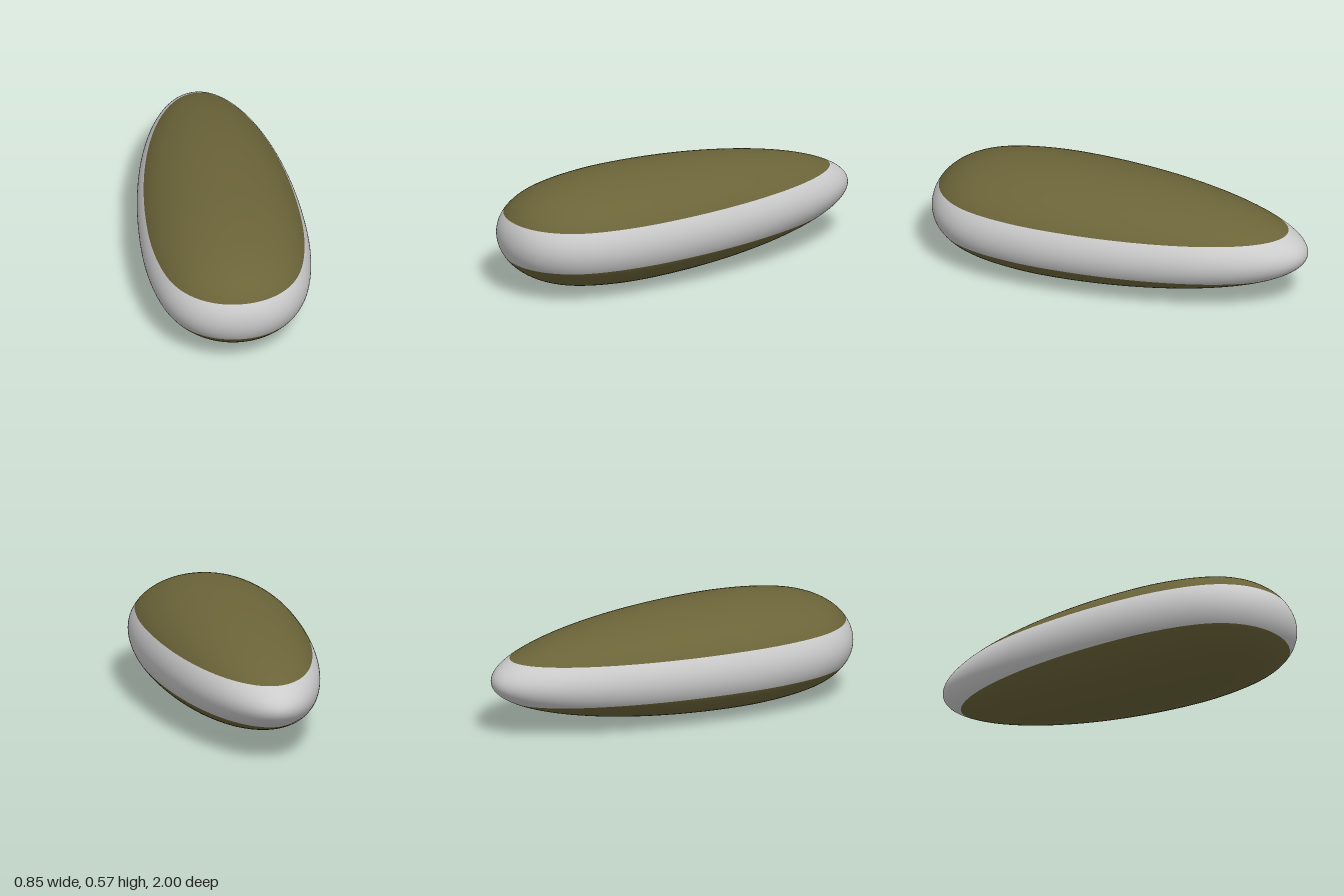
import * as THREE from 'three';

const HALF_W = 0.426, HALF_H = 0.285, BAND = 0.109; // body radii, half height of the side band
const CUT = BAND / HALF_H;

// Radius factor along the length: x holds z, y holds the factor
const v = (z, r) => new THREE.Vector2(z, r);
const profile = new THREE.CurvePath();
profile.add(new THREE.CubicBezierCurve(v(1, 0), v(1, 0.45), v(0.88, 0.76), v(0.7, 0.885)));
profile.add(new THREE.CubicBezierCurve(v(0.7, 0.885), v(0.6, 0.954), v(0.45, 1), v(0.3, 1)));
profile.add(new THREE.CubicBezierCurve(v(0.3, 1), v(-0.37, 1), v(-1, 0.55), v(-1, 0)));

// Place on the profile where the body becomes taller than the band
function findCut(thin, thick) {
  for (let i = 0; i < 40; i++) {
    const mid = (thin + thick) / 2;
    if (profile.getPoint(mid).y < CUT) thin = mid; else thick = mid;
  }
  return thick;
}
const EPS = 0.0002;
const frontCut = findCut(EPS, 0.4), rearCut = findCut(1 - EPS, 0.4);

// Stations that bunch up at both ends of a stretch
const stations = (a, b, n) => Array.from({ length: n + 1 },
  (_, i) => a + (b - a) * (1 - Math.cos(Math.PI * i / n)) / 2);
const middle = stations(frontCut, rearCut, 90);
const whole = [...stations(EPS, frontCut, 16).slice(0, -1), ...middle,
  ...stations(rearCut, 1 - EPS, 16).slice(1)];

// Skin between two angles that vary with the local radius
function skin(name, list, angles, material) {
  const N = 32, pos = [], nor = [], idx = [];
  list.forEach((s, i) => {
    const { x: z, y: r } = profile.getPoint(s), t = profile.getTangent(s);
    const [a0, a1] = angles(Math.asin(Math.min(1, CUT / r)));
    for (let j = 0; j <= N; j++) {
      const a = a0 + (a1 - a0) * j / N, c = Math.cos(a), d = Math.sin(a);
      pos.push(HALF_W * r * c, HALF_H + HALF_H * r * d, z);
      const n = new THREE.Vector3(-t.x * c / HALF_W, -t.x * d / HALF_H, t.y).normalize();
      nor.push(n.x, n.y, n.z);
      if (i && j) {
        const q = i * (N + 1) + j, p = q - N - 1;
        idx.push(p - 1, q - 1, q, p - 1, q, p);
      }
    }
  });
  const geo = new THREE.BufferGeometry();
  geo.setAttribute('position', new THREE.Float32BufferAttribute(pos, 3));
  geo.setAttribute('normal', new THREE.Float32BufferAttribute(nor, 3));
  geo.setIndex(idx);
  const mesh = new THREE.Mesh(geo, material);
  mesh.name = name;
  return mesh;
}

export function createModel() {
  const grey = new THREE.MeshStandardMaterial({ color: 0xcccccc });
  const olive = new THREE.MeshStandardMaterial({ color: 0x6b6439 });
  const group = new THREE.Group();
  group.name = 'teardropHull';
  group.add(
    // Pale band round the sides, closing both tips
    skin('leftBand', whole, a => [-a, a], grey),
    skin('rightBand', whole, a => [Math.PI - a, Math.PI + a], grey),
    // Olive shells above and below the band
    skin('topShell', middle, a => [a, Math.PI - a], olive),
    skin('bottomShell', middle, a => [Math.PI + a, 2 * Math.PI - a], olive),
  );
  return group;
}
